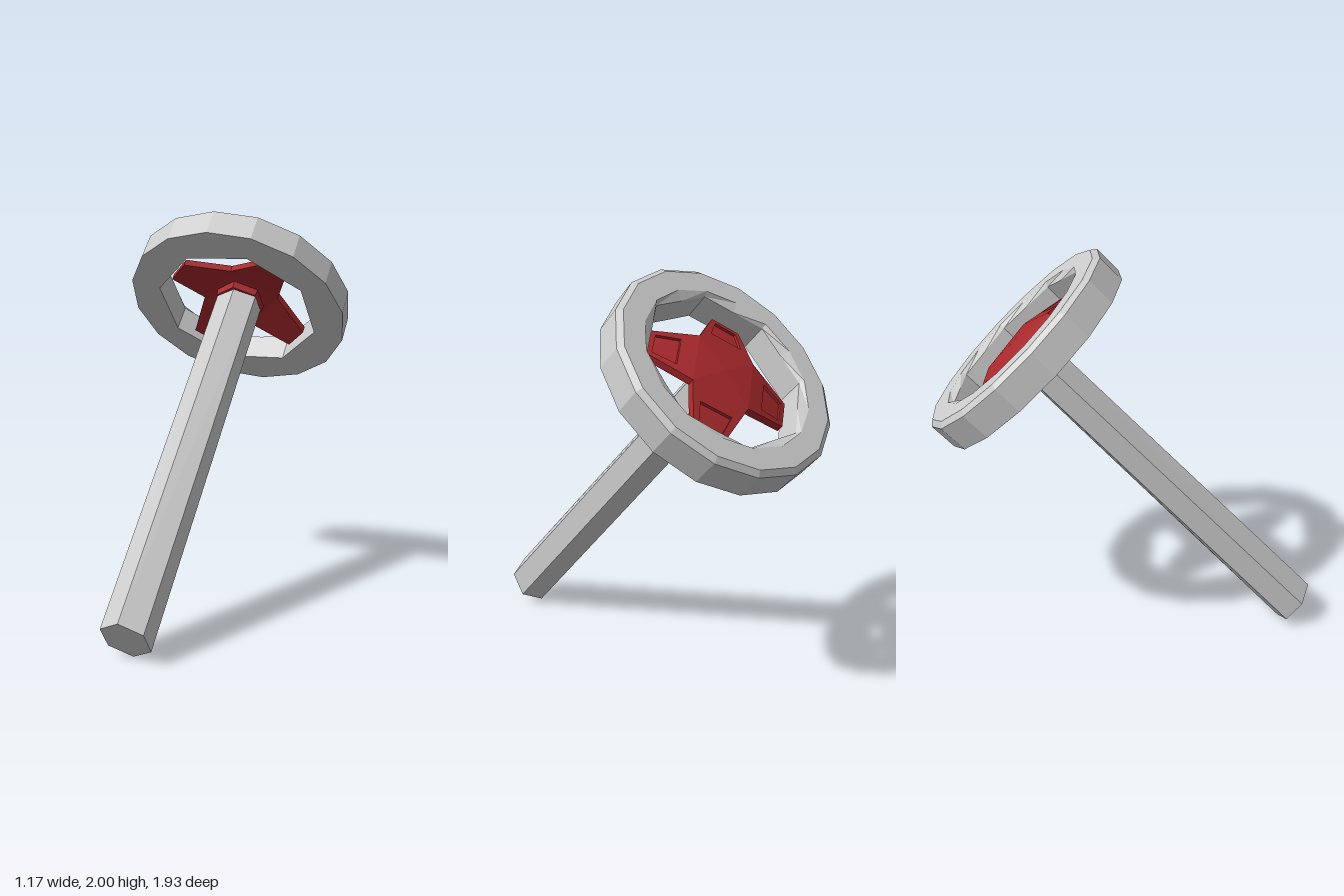
import * as THREE from 'three';

const grey = new THREE.MeshStandardMaterial({ color: 0xcccccc, flatShading: true });
const red = new THREE.MeshStandardMaterial({ color: 0xa8282c, flatShading: true });
const V = (x, y, z) => new THREE.Vector3(x, y, z);

// Collects polygons (corners counter-clockwise from outside) into a faceted geometry
function facets() {
  const pos = [];
  return {
    face(...p) {
      for (let i = 1; i < p.length - 1; i++)
        for (const v of [p[0], p[i], p[i + 1]]) pos.push(v.x, v.y, v.z);
    },
    // band between two closed or open loops
    band(a, b, count = a.length) {
      for (let i = 0; i < count; i++) {
        const j = (i + 1) % a.length;
        this.face(a[i], a[j], b[j], b[i]);
      }
    },
    build() {
      const g = new THREE.BufferGeometry();
      g.setAttribute('position', new THREE.Float32BufferAttribute(pos, 3));
      g.computeVertexNormals();
      return g;
    },
  };
}

// 16-sided rim with chamfered top edges and an octagonal opening
function rimGeometry() {
  const profile = [ // radius at even corners, radius at odd corners, height
    [0.585, 0.585, 0], [0.585, 0.585, 0.146], [0.557, 0.557, 0.168],
    [0.445, 0.445, 0.168], [0.397, 0.43, 0.145], [0.397, 0.43, 0],
  ];
  const loops = profile.map(([even, odd, y]) =>
    Array.from({ length: 16 }, (_, i) => {
      const a = (i * Math.PI) / 8, r = i % 2 ? odd : even;
      return V(r * Math.sin(a), y, r * Math.cos(a));
    }));
  const f = facets();
  loops.forEach((loop, k) => f.band(loop, loops[(k + 1) % loops.length]));
  return f.build();
}

// Four drooping spokes, each with a recessed panel, around a raised centre
function hubGeometry() {
  const f = facets();
  for (let q = 0; q < 4; q++) {
    const turn = (v) => v.applyAxisAngle(V(0, 1, 0), (q * Math.PI) / 2);
    const top = [V(0, 0.125, 0.21), V(0.205, 0.068, 0.32), V(0.315, 0.068, 0.215), V(0.21, 0.125, 0)].map(turn);
    const drop = (v, d) => V(v.x, v.y - d, v.z);
    const bottom = top.map((v) => drop(v, 0.038));
    // point on the spoke: s across, t towards the tip
    const at = (s, t) => top[0].clone().lerp(top[3], s).lerp(top[1].clone().lerp(top[2], s), t);
    const panel = [at(0.16, 0.36), at(0.16, 0.88), at(0.84, 0.88), at(0.84, 0.36)];
    const floor = panel.map((v) => drop(v, 0.014));
    f.band(top, panel);
    f.band(panel, floor);
    f.face(...floor);
    f.band(bottom, top, 3);
    f.face(...bottom.slice().reverse());
    f.face(V(0, 0.138, 0), top[0], top[3]);
    f.face(V(0, 0.09, 0), bottom[3], bottom[0]);
  }
  return f.build();
}

// Hexagonal shaft, slightly tapered, with an oblique foot
function columnGeometry() {
  const g = new THREE.CylinderGeometry(0.11, 0.125, 1.98, 6);
  g.translate(0, -0.938, 0);
  const p = g.attributes.position;
  for (let i = 0; i < p.count; i++) {
    const z = p.getZ(i);
    if (p.getY(i) < -1) {
      p.setY(i, -1.928 + z * 0.16);
      p.setZ(i, z - 0.013);
    } else p.setX(i, p.getX(i) * 1.136);
  }
  g.computeVertexNormals();
  return g;
}

export function createModel() {
  const group = new THREE.Group();
  group.name = 'steeringWheel';
  const wheel = new THREE.Group();
  wheel.name = 'tiltedAssembly';
  const add = (name, geometry, material) => {
    const mesh = new THREE.Mesh(geometry, material);
    mesh.name = name;
    wheel.add(mesh);
    return mesh;
  };
  add('rim', rimGeometry(), grey);
  add('hubSpokes', hubGeometry(), red);
  add('hubCollar', new THREE.CylinderGeometry(0.135, 0.126, 0.06, 6), red).position.y = 0.08;
  add('column', columnGeometry(), grey);

  wheel.rotation.x = -0.773;
  wheel.position.set(0, 1.49, -0.446);
  group.add(wheel);
  return group;
}
